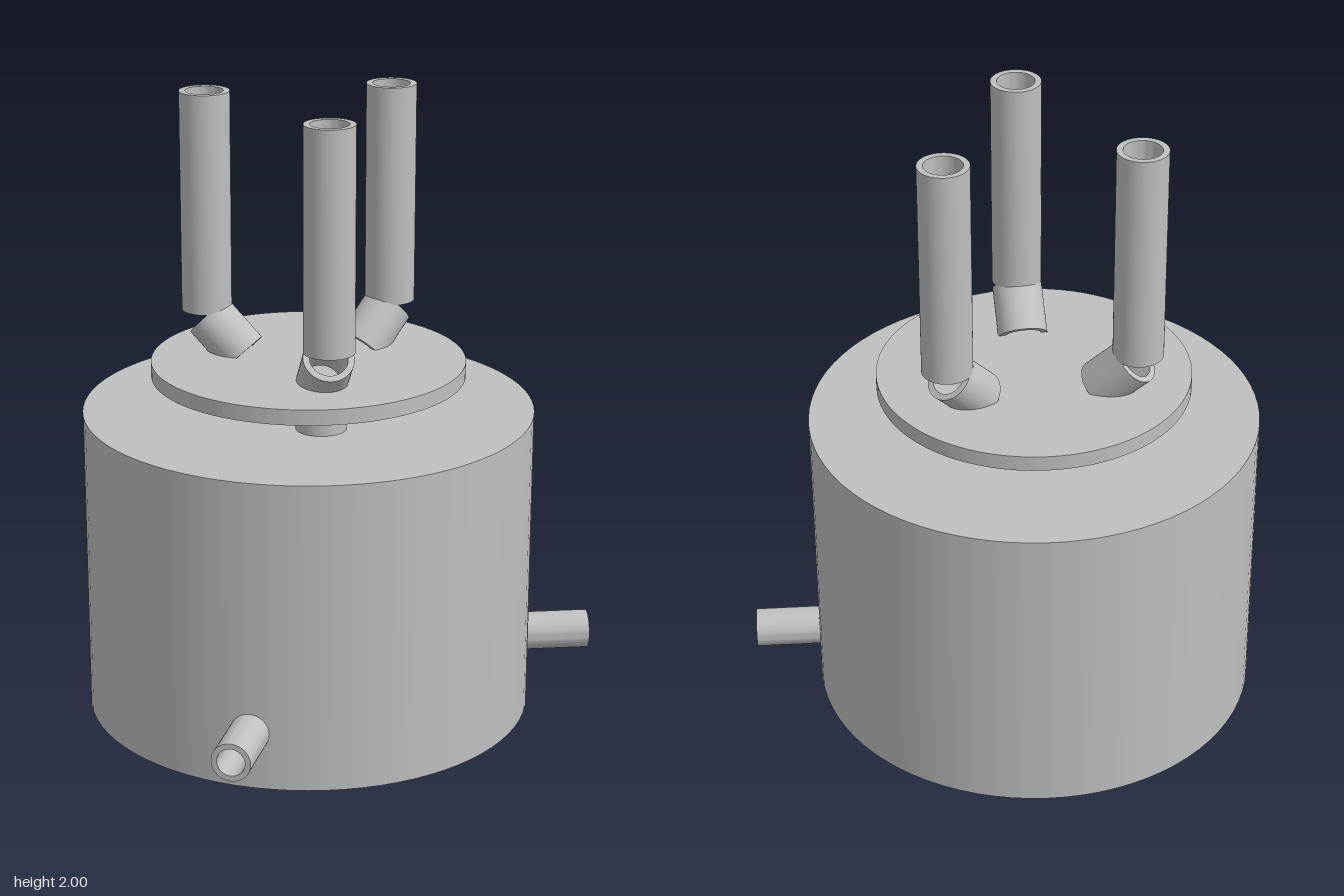
import * as THREE from 'three';
import { toCreasedNormals } from 'three/addons/utils/BufferGeometryUtils.js';

const steel = new THREE.MeshStandardMaterial({ color: 0xbfbfbf });
steel.name = 'brushed grey';

// Hollow pipe with sharp rims, centred on its own length along y
function pipe(name, outer, inner, length) {
  const h = length / 2;
  const profile = [[inner, -h], [outer, -h], [outer, h], [inner, h], [inner, -h]]
    .map(([x, y]) => new THREE.Vector2(x, y));
  const geometry = toCreasedNormals(new THREE.LatheGeometry(profile, 48), Math.PI / 4);
  const mesh = new THREE.Mesh(geometry, steel);
  mesh.name = name;
  return mesh;
}

// Solid round slab between two heights
function slab(name, radius, bottom, top) {
  const mesh = new THREE.Mesh(new THREE.CylinderGeometry(radius, radius, top - bottom, 80), steel);
  mesh.position.y = (bottom + top) / 2;
  mesh.name = name;
  return mesh;
}

export function createModel() {
  const model = new THREE.Group();
  model.name = 'pipedDrum';
  model.add(slab('drum', 0.72, 0, 1), slab('flangePlate', 0.5, 1.11, 1.16));

  // Three risers: a short stub, a 45 degree elbow and a tall vertical pipe
  for (let i = 0; i < 3; i++) {
    const riser = new THREE.Group();
    riser.name = `riser${i + 1}`;
    riser.rotation.y = (i * Math.PI * 2) / 3;

    const stub = pipe('stubPipe', 0.08, 0.06, 0.14);
    stub.position.set(0.215, 1.07, 0);

    const elbow = pipe('elbowPipe', 0.08, 0.06, 0.165);
    elbow.position.set(0.28, 1.21, 0);
    elbow.rotation.z = -Math.PI / 4;

    const upright = pipe('uprightPipe', 0.08, 0.06, 0.71);
    upright.position.set(0.345, 1.645, 0);

    riser.add(stub, elbow, upright);
    model.add(riser);
  }

  // Two horizontal spouts low on the front, mirrored left and right
  for (const [name, degrees] of [['leftSpout', -35], ['rightSpout', -145]]) {
    const holder = new THREE.Group();
    holder.name = name;
    holder.rotation.y = THREE.MathUtils.degToRad(degrees);
    const spout = pipe('spoutPipe', 0.062, 0.044, 0.23);
    spout.rotation.z = -Math.PI / 2;
    spout.position.set(0.812, 0.185, 0);
    holder.add(spout);
    model.add(holder);
  }
  return model;
}
